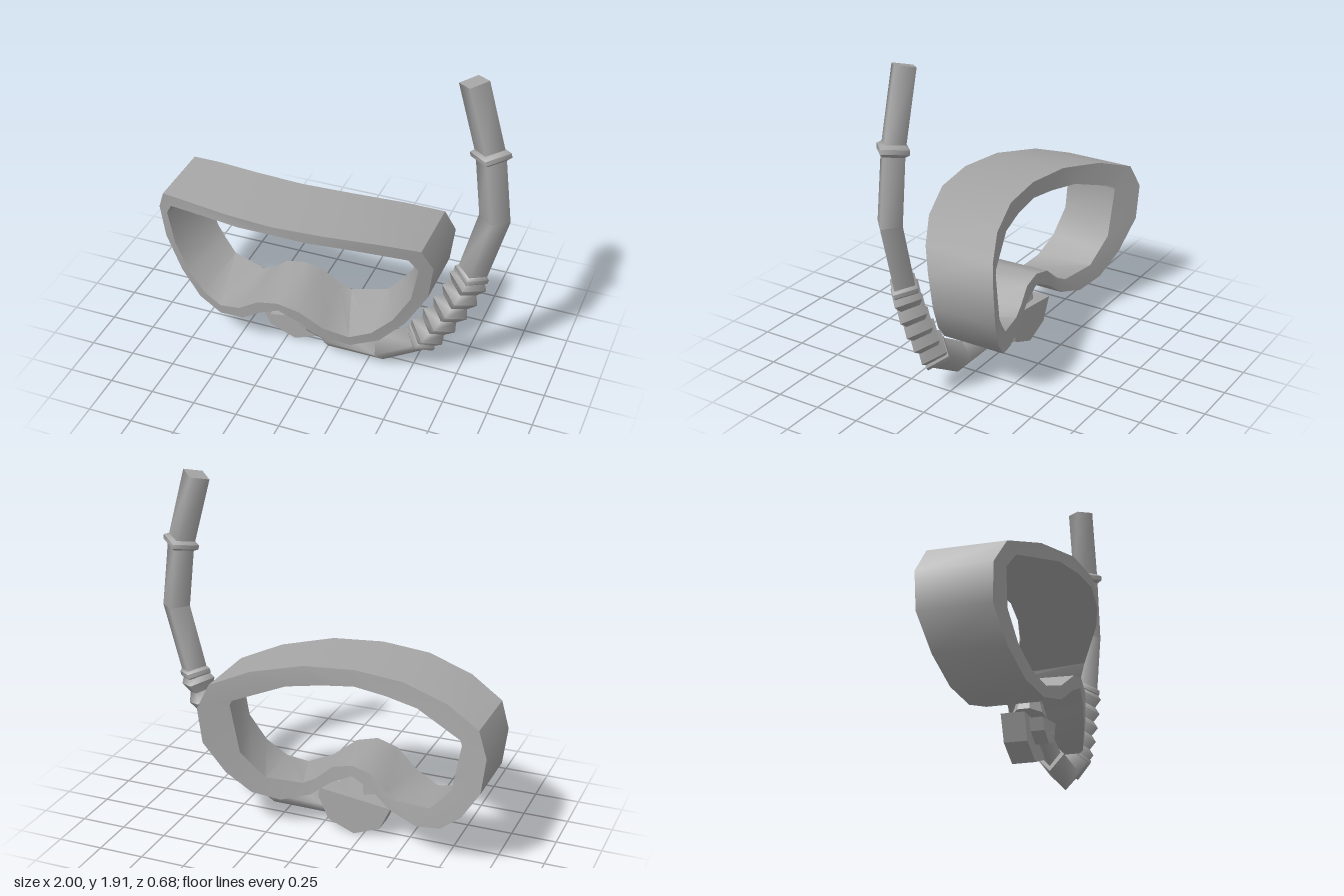
import * as THREE from 'three';
import { toCreasedNormals } from 'three/addons/utils/BufferGeometryUtils.js';

const CX = -0.2; // mask centre line
const TUBE_Z = 0.057; // plane of the breathing tube

function geometryFrom(pos, idx) {
  const g = new THREE.BufferGeometry();
  g.setAttribute('position', new THREE.Float32BufferAttribute(pos, 3));
  g.setIndex(idx);
  return g;
}

// Mask frame: half outlines from top centre down to the nose arch, then mirrored
function maskGeometry() {
  const outer = [[0, .985], [.28, .975], [.55, .93], [.75, .86], [.805, .73], [.78, .53],
    [.67, .35], [.54, .23], [.39, .19], [.23, .235], [.12, .32], [0, .38]];
  const frontInner = [[0, .93], [.2, .915], [.4, .895], [.69, .81], [.737, .73], [.7, .53],
    [.61, .38], [.5, .285], [.385, .25], [.25, .3], [.12, .40], [0, .43]];
  const backInner = [[0, .893], [.18, .875], [.37, .853], [.64, .765], [.65, .74], [.6, .467],
    [.54, .395], [.47, .32], [.27, .30], [.2, .335], [.11, .415], [0, .44]];
  const frontZ = (x, y) => .345 - .4 * x * x - .12 * (.985 - y);
  const backZ = (x, y) => -.09 - .36 * x * x - .05 * (.985 - y);
  const rings = [[outer, frontZ], [frontInner, frontZ], [backInner, backZ], [outer, backZ]];
  const n = 22, pos = [], idx = [];
  for (const [half, z] of rings) {
    const loop = [...half, ...half.slice(1, -1).reverse().map(([x, y]) => [-x, y])];
    for (const [x, y] of loop) pos.push(CX + x, y, z(x, y));
  }
  for (let r = 0; r < 4; r++) {
    for (let i = 0; i < n; i++) {
      const j = (i + 1) % n, a = r * n, b = ((r + 1) % 4) * n;
      idx.push(a + i, b + i, b + j, a + i, b + j, a + j);
    }
  }
  return toCreasedNormals(geometryFrom(pos, idx), .65);
}

// Four-cornered tube along [x, y, radius] stations, smooth around, creased between stations
function tubeGeometry(path) {
  const pts = path.map(([x, y]) => new THREE.Vector2(x, y));
  const rings = path.map(([x, y, r], i) => {
    const a = pts[Math.max(i - 1, 0)], b = pts[Math.min(i + 1, path.length - 1)];
    const before = pts[i].clone().sub(a).normalize(), after = b.clone().sub(pts[i]).normalize();
    const t = before.add(after).normalize();
    return [[1, 0], [0, 1], [-1, 0], [0, -1]].map(([c, s]) =>
      [x + t.y * r * c, y - t.x * r * c, TUBE_Z + s * r * .9]);
  });
  const pos = [], idx = [];
  const add = (ring) => {
    const base = pos.length / 3;
    ring.forEach((p) => pos.push(...p));
    return base;
  };
  for (let i = 0; i + 1 < rings.length; i++) {
    const a = add(rings[i]), b = add(rings[i + 1]);
    for (let k = 0; k < 4; k++) {
      const m = (k + 1) % 4;
      idx.push(a + k, b + k, a + m, a + m, b + k, b + m);
    }
  }
  const s = add(rings[0]), e = add(rings[rings.length - 1]);
  idx.push(s, s + 1, s + 2, s, s + 2, s + 3, e, e + 2, e + 1, e, e + 3, e + 2);
  const g = geometryFrom(pos, idx);
  g.computeVertexNormals();
  return g;
}

// Short bulging ring around the tube, centred at (x, y) along direction (dx, dy)
function collarGeometry(x, y, dx, dy, r) {
  const l = Math.hypot(dx, dy);
  return tubeGeometry([[-.03, .078], [-.012, r], [.012, r], [.03, .078]]
    .map(([d, rad]) => [x + dx / l * d, y + dy / l * d, rad]));
}

// Flat-topped half-round block
function halfRound(points, depth, z) {
  const shape = new THREE.Shape([...points, ...points.slice(0, -1).reverse().map(([x, y]) => [-x, y])]
    .map(([x, y]) => new THREE.Vector2(CX + x, y)));
  const g = new THREE.ExtrudeGeometry(shape, { depth, bevelEnabled: false });
  return g.translate(0, 0, z);
}

export function createModel() {
  const group = new THREE.Group();
  const grey = new THREE.MeshStandardMaterial({ color: 0xa6a6a6 });
  grey.name = 'plain grey';
  const add = (name, geometry) => {
    const mesh = new THREE.Mesh(geometry, grey);
    mesh.name = name;
    group.add(mesh);
    return mesh;
  };

  add('maskFrame', maskGeometry());

  // Breathing tube
  add('upperTube', tubeGeometry([[.765, 1.9, .08], [.872, 1.51, .08], [.915, 1.14, .083], [.813, .755, .08]]));
  add('lowerTube', tubeGeometry([[.56, .26, .083], [.315, .115, .087], [.01, .115, .085]]));
  add('mouthTube', tubeGeometry([[.04, .115, .065], [-.15, .175, .06]]));

  // Bellows: alternating ridges and valleys along a gentle curve
  const curve = new THREE.QuadraticBezierCurve(
    new THREE.Vector2(.813, .755), new THREE.Vector2(.735, .5), new THREE.Vector2(.55, .25));
  const steps = 10;
  add('bellows', tubeGeometry(Array.from({ length: steps + 1 }, (_, i) => {
    const p = curve.getPoint(i / steps);
    return [p.x, p.y, i % 2 ? .108 : .075];
  })));

  add('topCollar', collarGeometry(.872, 1.51, .18, -1, .108));
  add('bellowsTopCollar', collarGeometry(.813, .755, -.25, -1, .096));
  add('bellowsBottomCollar', collarGeometry(.55, .25, -.6, -.75, .1));

  // Mouthpiece
  add('mouthShield', halfRound([[0, .01], [.15, .07], [.21, .2], [.2, .25]], .12, -.08));
  add('mouthBlock', halfRound([[0, .1], [.09, .14], [.12, .2], [.125, .25]], .07, .04));
  const pocket = new THREE.CylinderGeometry(.075, .13, .125, 8, 1, false, Math.PI / 8).toNonIndexed();
  pocket.computeVertexNormals();
  const nose = add('nosePocket', pocket);
  nose.position.set(CX, .3125, .01);
  nose.scale.z = .65;

  return group;
}
